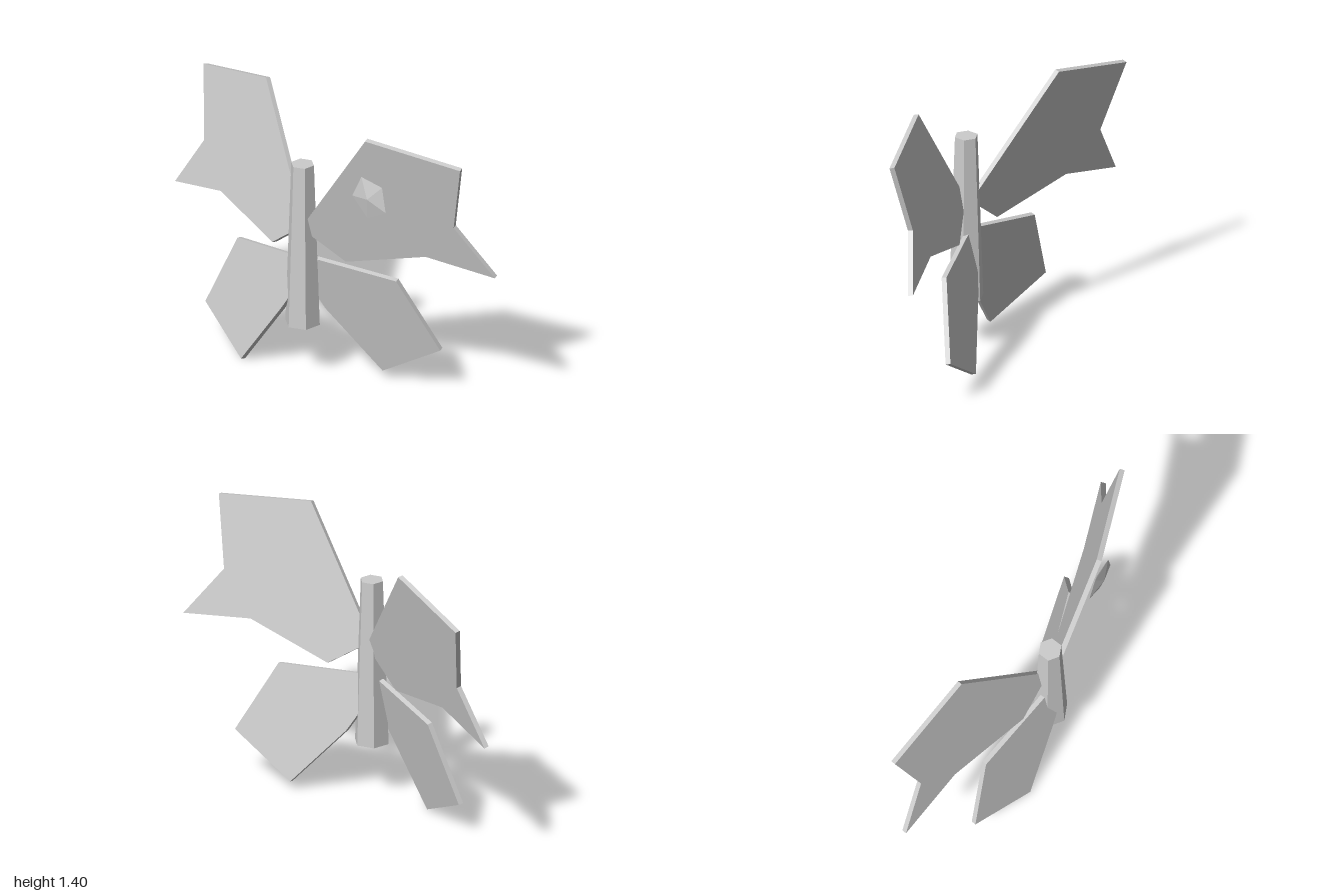
import * as THREE from 'three';

const THICKNESS = 0.025;

// Flat plate whose front outline lies on z = z0 + sx * x + sy * y, thickened along its normal
function wing(name, outline, z0, sx, sy, material) {
  const shape = new THREE.Shape(outline.map(([x, y]) => new THREE.Vector2(x, y)));
  const geometry = new THREE.ExtrudeGeometry(shape, { depth: THICKNESS, bevelEnabled: false });
  const normal = new THREE.Vector3(-sx, -sy, 1).normalize();
  const position = geometry.attributes.position;
  const p = new THREE.Vector3();
  for (let i = 0; i < position.count; i++) {
    p.fromBufferAttribute(position, i);
    const offset = p.z - THICKNESS;
    p.z = z0 + sx * p.x + sy * p.y;
    p.addScaledVector(normal, offset);
    position.setXYZ(i, p.x, p.y, p.z);
  }
  geometry.computeVertexNormals();
  const mesh = new THREE.Mesh(geometry, material);
  mesh.name = name;
  return mesh;
}

export function createModel() {
  const model = new THREE.Group();
  model.name = 'butterfly';
  const grey = new THREE.MeshStandardMaterial({ color: 0xcccccc, flatShading: true });
  grey.name = 'lightGrey';

  // Tapered six-sided body
  const body = new THREE.Mesh(
    new THREE.CylinderGeometry(0.058, 0.088, 0.85, 6, 1, false, THREE.MathUtils.degToRad(-10)),
    grey
  );
  body.name = 'body';
  body.position.set(0, 0.705, 0.144);
  model.add(body);

  // Wings, swept back and tilted differently on each side
  model.add(
    wing('leftUpperWing', [
      [0.01, 0.797], [0.22, 0.65], [0.65, 0.78], [1.0, 0.737],
      [0.825, 0.99], [0.91, 1.342], [0.43, 1.402],
    ], 0.0, -0.26, 0.2156, grey),
    wing('leftLowerWing', [
      [0.05, 0.632], [0.007, 0.47], [0.075, 0.345],
      [0.325, 0.042], [0.65, 0.235], [0.475, 0.597],
    ], 0.008, -0.258, 0.21, grey),
    wing('rightUpperWing', [
      [0, 0.796], [-0.435, 1.362], [-0.912, 1.246], [-0.828, 0.9],
      [-1.0, 0.63], [-0.65, 0.716], [-0.215, 0.631],
    ], 0.309, 0.27, -0.216, grey),
    wing('rightLowerWing', [
      [-0.05, 0.63], [-0.48, 0.55], [-0.652, 0.168],
      [-0.327, 0.008], [-0.085, 0.35], [-0.007, 0.47],
    ], 0.305, 0.27, -0.216, grey)
  );

  // Flattened five-sided stud in front of one wing
  const studGeometry = new THREE.SphereGeometry(1, 5, 2, THREE.MathUtils.degToRad(10));
  studGeometry.rotateX(Math.PI / 2);
  studGeometry.scale(0.111, 0.111, 0.021);
  const stud = new THREE.Mesh(studGeometry, grey);
  stud.name = 'wingStud';
  stud.position.set(0.446, 1.097, 0.175);
  model.add(stud);

  return model;
}
